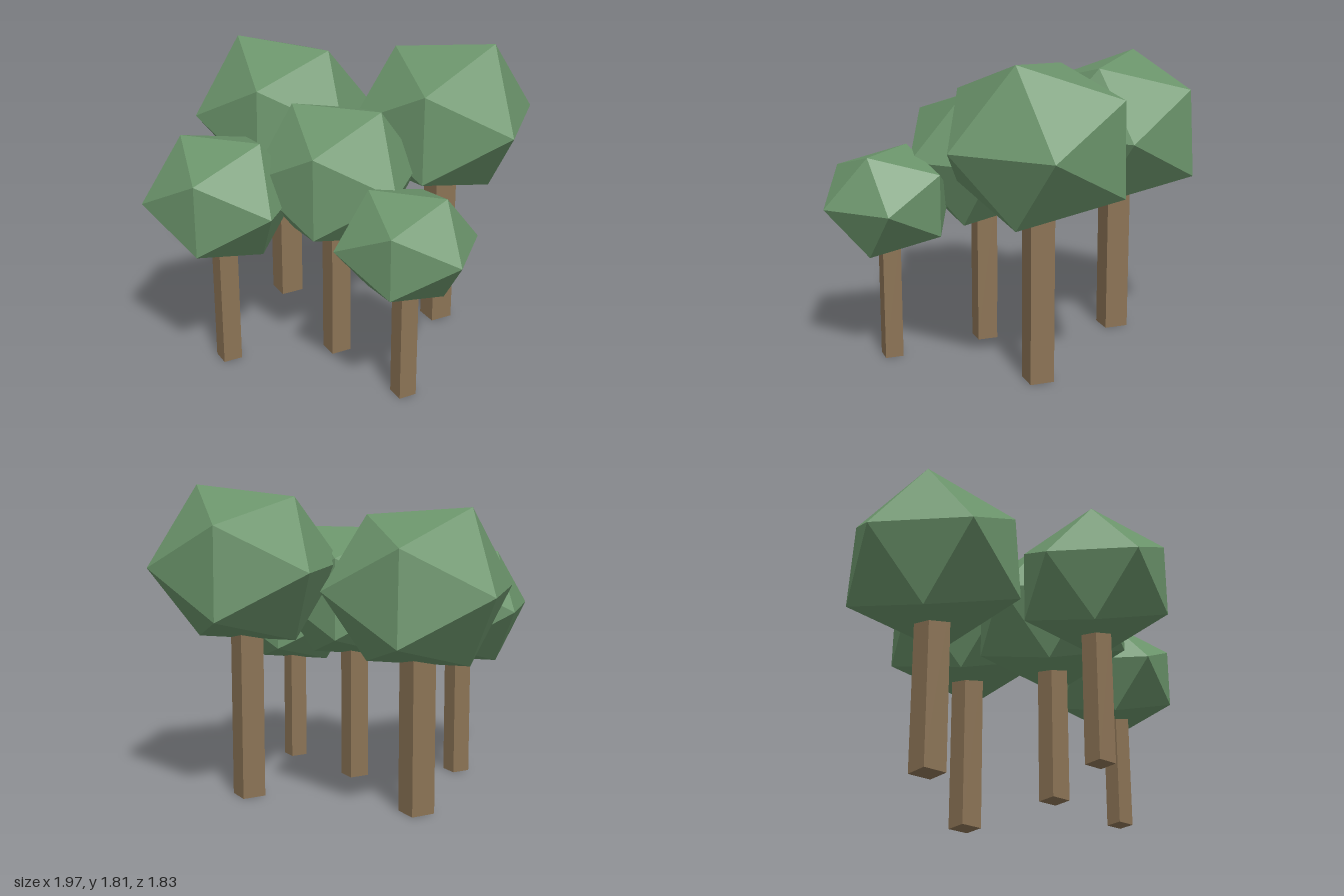
import * as THREE from 'three';

const leaf = new THREE.MeshStandardMaterial({ color: 0x6b946b });
leaf.name = 'leafGreen';
const bark = new THREE.MeshStandardMaterial({ color: 0x8b7355 });
bark.name = 'barkBrown';

// Each tree: foot position, canopy centre height, canopy radii, trunk radius,
// tilt of the top ridge and widening of the lower half
const TREES = [
  { name: 'middleTree', x: 0.03, z: 0.21, y: 1.157, radii: [0.495, 0.455, 0.505], trunk: 0.086 },
  { name: 'frontLeftTree', x: 0.535, z: 0.57, y: 0.945, radii: [0.41, 0.34, 0.4], trunk: 0.075 },
  { name: 'frontRightTree', x: -0.56, z: 0.488, y: 1.055, radii: [0.45, 0.398, 0.46], trunk: 0.08 },
  { name: 'backRightTree', x: -0.505, z: -0.425, y: 1.27, radii: [0.555, 0.493, 0.55], trunk: 0.103, tilt: -0.024, flare: 0.03 },
  { name: 'backLeftTree', x: 0.515, z: -0.365, y: 1.36, radii: [0.56, 0.497, 0.575], trunk: 0.099, tilt: 0.03, flare: 0.01 },
];

// Faceted canopy: a stretched icosahedron with a tilted top ridge
function canopyGeometry({ radii, tilt = 0, flare = 0 }) {
  const geometry = new THREE.IcosahedronGeometry(1, 0);
  const p = geometry.attributes.position;
  for (let i = 0; i < p.count; i++) {
    const x = p.getX(i), y = p.getY(i), z = p.getZ(i);
    const lift = y > 0.8 ? tilt * Math.sign(x) : 0;
    const widen = y < -0.1 && Math.abs(z) > 0.8 ? flare * Math.sign(z) : 0;
    p.setXYZ(i, x * radii[0], y * radii[1] + lift, z * radii[2] + widen);
  }
  geometry.computeVertexNormals();
  return geometry;
}

function createTree(tree) {
  const group = new THREE.Group();
  group.name = tree.name;
  group.position.set(tree.x, 0, tree.z);

  const canopy = new THREE.Mesh(canopyGeometry(tree), leaf);
  canopy.name = 'canopy';
  canopy.position.y = tree.y;

  // Square trunk set cornerwise, ending inside the canopy
  const height = tree.y - tree.radii[1] * 0.5;
  const trunkGeometry = new THREE.CylinderGeometry(tree.trunk, tree.trunk, height, 4).toNonIndexed();
  trunkGeometry.computeVertexNormals();
  const trunk = new THREE.Mesh(trunkGeometry, bark);
  trunk.name = 'trunk';
  trunk.position.y = height / 2;

  group.add(trunk, canopy);
  return group;
}

export function createModel() {
  const grove = new THREE.Group();
  grove.name = 'grove';
  for (const tree of TREES) grove.add(createTree(tree));
  return grove;
}
